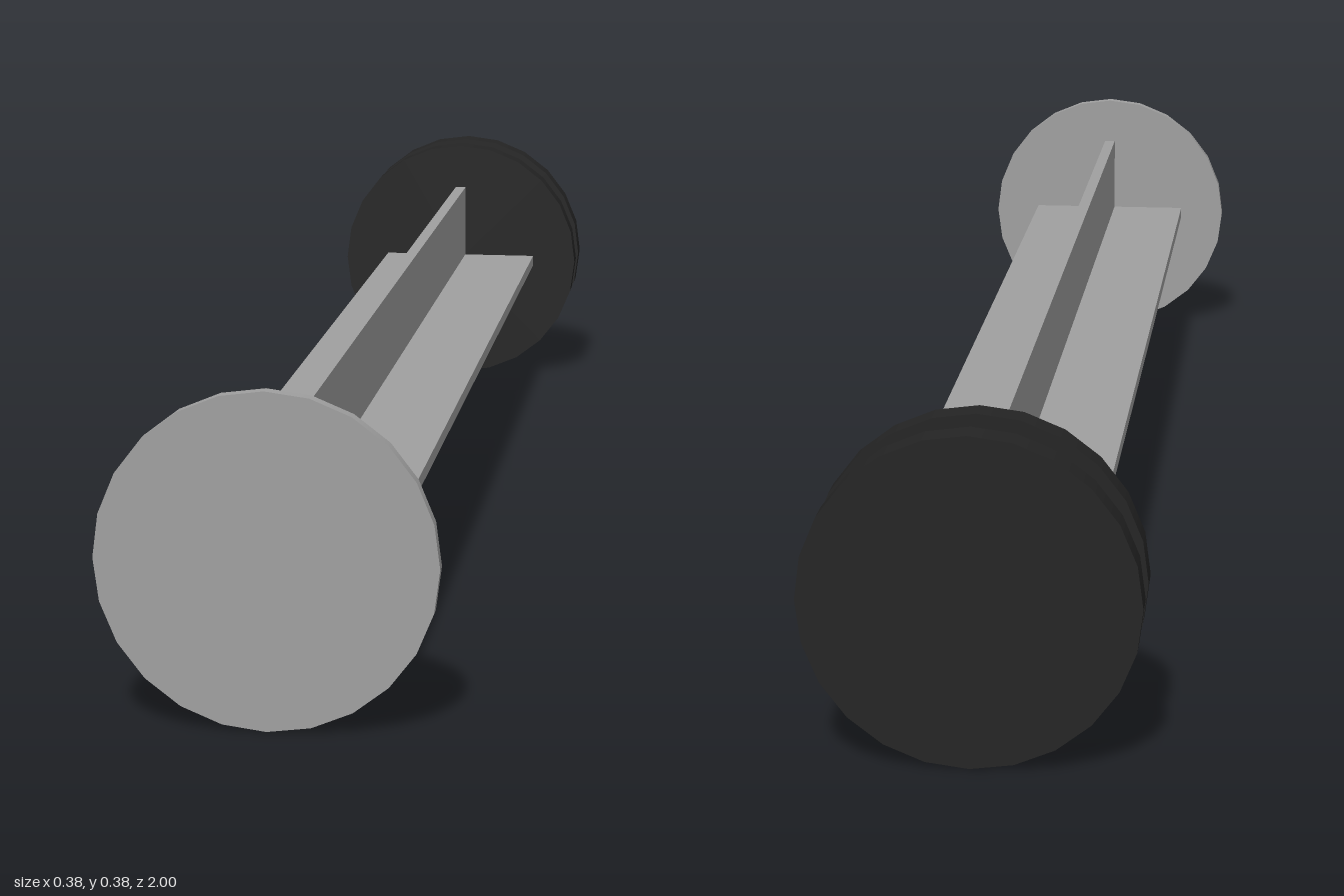
import * as THREE from 'three';

const R = 0.188; // outer radius, also the height of the axis

export function createModel() {
  const model = new THREE.Group();
  const grey = new THREE.MeshStandardMaterial({ color: 0xa0a0a0 });
  grey.name = 'grey plastic';
  const black = new THREE.MeshStandardMaterial({ color: 0x242424 });
  black.name = 'black rubber';

  const add = (name, geometry, material) => {
    const mesh = new THREE.Mesh(geometry, material);
    mesh.name = name;
    mesh.position.y = R;
    model.add(mesh);
  };

  // Disc along z between two depths
  const disc = (name, radius, z0, z1, material) => {
    const g = new THREE.CylinderGeometry(radius, radius, z1 - z0, 24);
    g.rotateX(Math.PI / 2).translate(0, 0, (z0 + z1) / 2);
    add(name, g, material);
  };

  disc('thumbRest', R, 0.984, 1, grey);

  // Cross-shaped rod
  const a = 0.12, t = 0.008;
  const cross = new THREE.Shape([
    [a, -t], [a, t], [t, t], [t, a], [-t, a], [-t, t],
    [-a, t], [-a, -t], [-t, -t], [-t, -a], [t, -a], [t, -t],
  ].map(([x, y]) => new THREE.Vector2(x, y)));
  const rod = new THREE.ExtrudeGeometry(cross, { depth: 1.864, bevelEnabled: false });
  add('crossRod', rod.translate(0, 0, -0.88), grey);

  // Grooved stopper: two flanges around a narrower core
  disc('stopperFrontFlange', R, -0.914, -0.88, black);
  disc('stopperCore', 0.159, -0.964, -0.914, black);
  disc('stopperBackFlange', R, -1, -0.964, black);

  return model;
}
